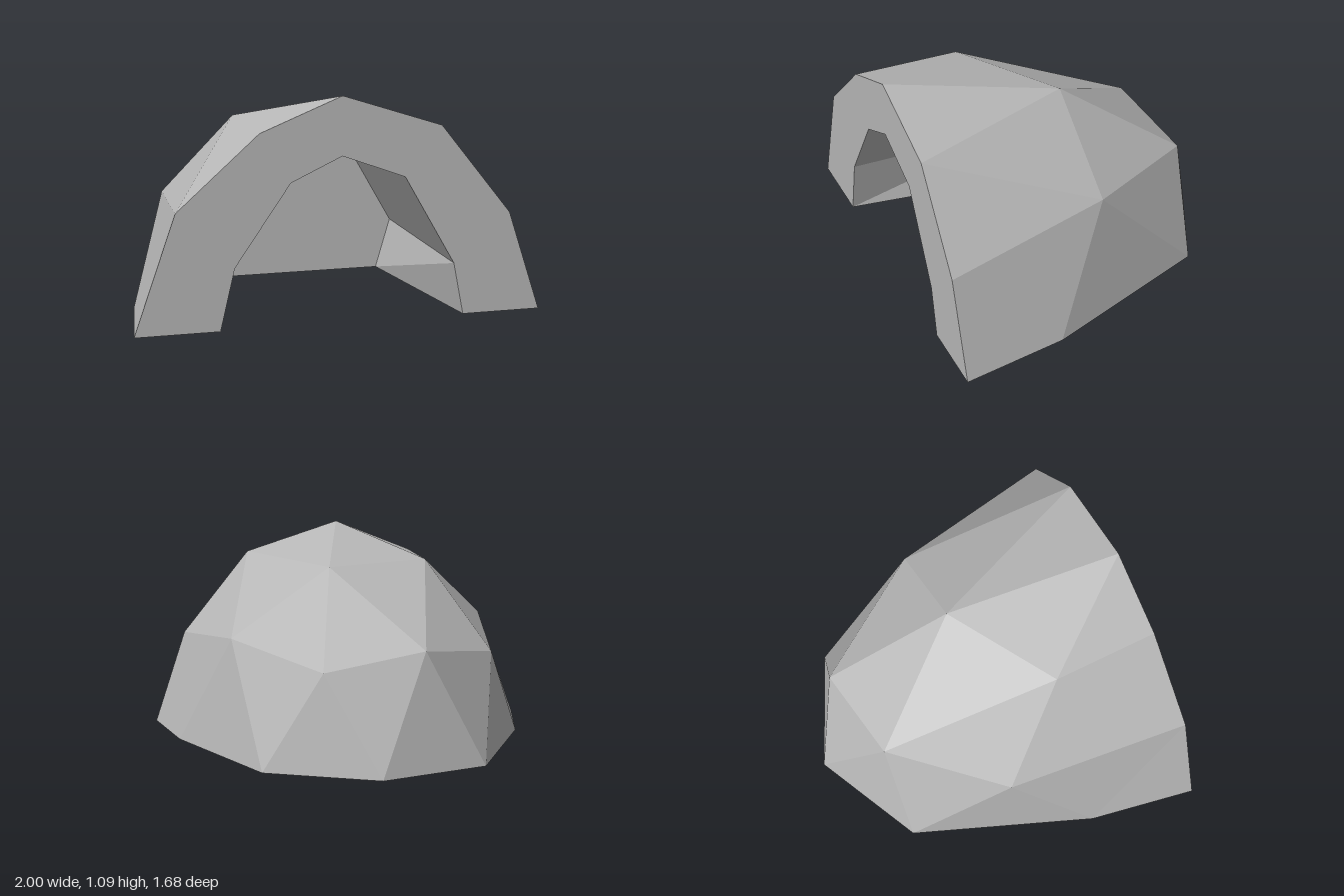
import * as THREE from 'three';

const FRONT = 0.84, BACK = -0.16;

// Front arch, outer and inner, left to right on screen as [x, y]
const outerArch = [[-1, 0], [-0.8, 0.575], [-0.4, 0.93], [0, 1.09], [0.49, 0.93], [0.84, 0.49], [1, 0]];
const innerArch = [[-0.59, 0], [-0.52, 0.3], [-0.25, 0.69], [0, 0.805], [0.31, 0.69], [0.56, 0.255], [0.61, 0]];
// The cavity's back wall repeats the inner arch with its feet drawn in
const backArch = innerArch.map(p => [...p]);
backArch[0][0] = -0.47;
backArch[6][0] = 0.485;

// Footprint of the dome, -x to +x, as [x, z]
const footprint = [[-1, FRONT], [-0.9, 0.3], [-0.55, -0.58], [0, -0.84], [0.55, -0.58], [0.9, 0.3], [1, FRONT]];

const flatShape = pts => new THREE.ShapeGeometry(new THREE.Shape(pts.map(p => new THREE.Vector2(...p))));

function facets(triangles) {
  const g = new THREE.BufferGeometry();
  g.setAttribute('position', new THREE.Float32BufferAttribute(triangles.flat(2), 3));
  g.computeVertexNormals();
  return g;
}

export function createModel() {
  const group = new THREE.Group();
  group.name = 'domeShelter';
  const stone = new THREE.MeshStandardMaterial({ color: 0xb8b8b8, flatShading: true, side: THREE.DoubleSide });
  stone.name = 'stone grey';
  const add = (name, geometry) => {
    const mesh = new THREE.Mesh(geometry, stone);
    mesh.name = name;
    group.add(mesh);
    return mesh;
  };

  // Faceted dome shell: front rim f, ground ring b, and six free corners
  const f = outerArch.map(([x, y]) => [x, y, FRONT]);
  const b = footprint.map(([x, z]) => [x, 0, z]);
  const roof = [0.15, 0.93, -0.03], roofSide = [-0.4, 0.93, 0.3];
  const flank = [0.65, 0.575, -0.03], rear = [-0.25, 0.575, -0.58];
  const rearCorner = [0.26, 0.49, -0.65], sideCorner = [-0.68, 0.49, -0.08];
  add('domeShell', facets([
    // upper facets
    [f[3], f[4], roof], [f[3], roof, roofSide], [f[3], roofSide, f[2]],
    [f[4], f[5], flank], [f[4], flank, roof], [roof, flank, rearCorner],
    [roof, rearCorner, rear], [roof, rear, roofSide], [roofSide, rear, sideCorner],
    [roofSide, sideCorner, f[1]], [roofSide, f[1], f[2]],
    // lower facets
    [f[5], b[6], b[5]], [f[5], b[5], flank], [flank, b[5], b[4]],
    [flank, b[4], rearCorner], [rearCorner, b[4], b[3]], [rearCorner, b[3], rear],
    [rear, b[3], b[2]], [rear, b[2], sideCorner], [sideCorner, b[2], b[1]],
    [sideCorner, b[1], f[1]], [f[1], b[1], b[0]],
  ]));

  // Flat arched face around the opening
  add('frontArch', flatShape([...outerArch, ...[...innerArch].reverse()])).position.z = FRONT;

  // Cavity walls from the opening to the back wall
  const walls = [];
  for (let i = 0; i < 6; i++) {
    const f0 = [...innerArch[i], FRONT], f1 = [...innerArch[i + 1], FRONT];
    const b0 = [...backArch[i], BACK], b1 = [...backArch[i + 1], BACK];
    walls.push([f0, b0, b1], [f0, b1, f1]);
  }
  add('cavityWalls', facets(walls));
  add('cavityBack', flatShape(backArch)).position.z = BACK;

  // Underside, a horseshoe on the ground
  const innerFoot = [[0.61, FRONT], [0.485, BACK], [-0.47, BACK], [-0.59, FRONT]];
  add('underside', flatShape([...footprint, ...innerFoot]).rotateX(Math.PI / 2));

  return group;
}
